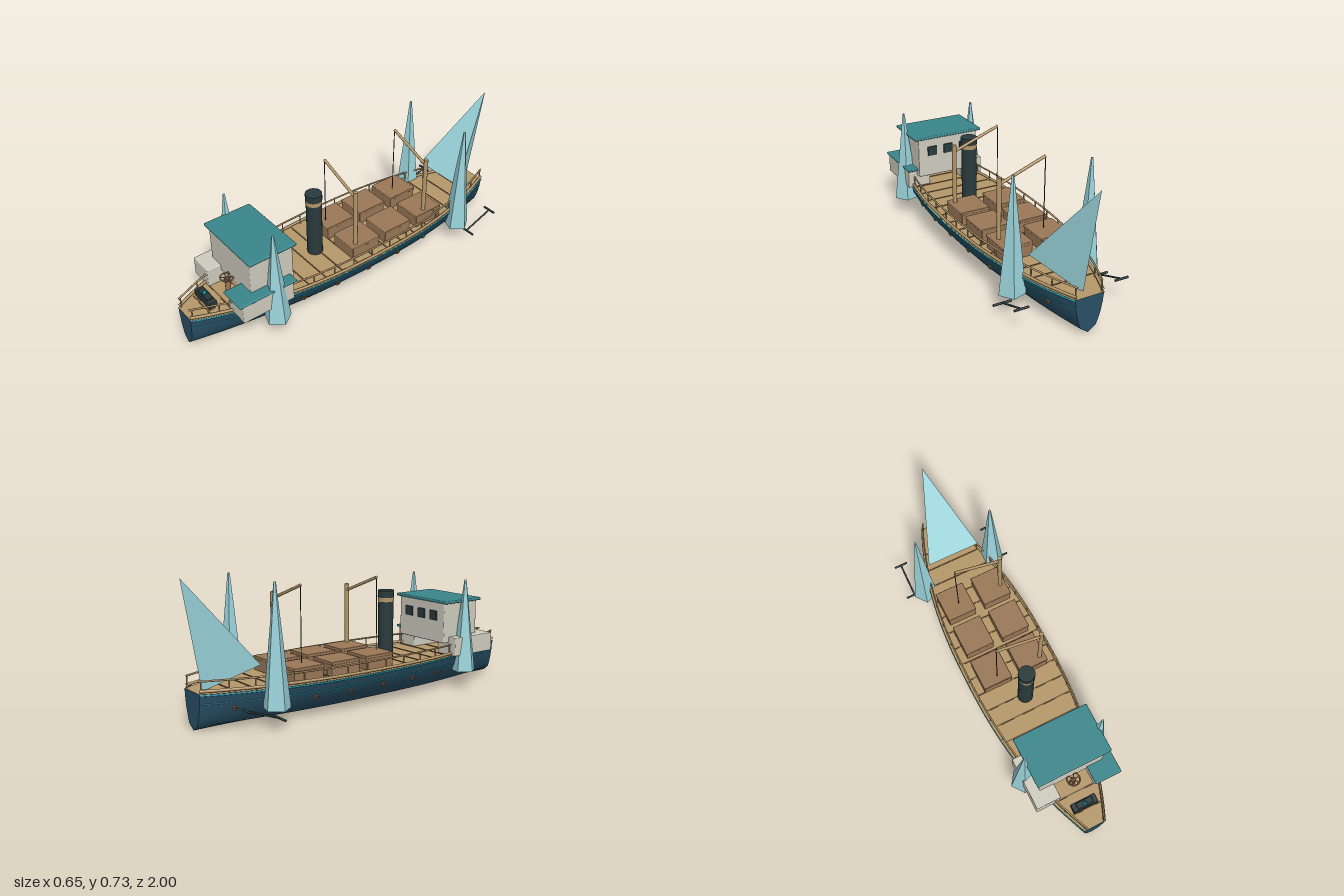
import * as THREE from 'three';
import { RoundedBoxGeometry } from 'three/addons/geometries/RoundedBoxGeometry.js';

const paint = (name, color, opts = {}) => {
  const m = new THREE.MeshStandardMaterial({ color, ...opts });
  m.name = name;
  return m;
};

export function createModel() {
  const root = new THREE.Group();
  root.name = 'cargoShip';
  const hullBlue = paint('hull blue', 0x285066);
  const wood = paint('deck wood', 0xb5986a);
  const brown = paint('crate brown', 0x9a7857);
  const seam = paint('seam brown', 0x6e5539);
  const dark = paint('dark iron', 0x2a3a3c);
  const wall = paint('wall cream', 0xcfccbf);
  const teal = paint('roof teal', 0x3a868b);
  const aqua = paint('trim aqua', 0x22a3b4);
  const ice = paint('ice blue', 0x9ad2da, { flatShading: true });

  const add = (name, geo, mat, x = 0, y = 0, z = 0, parent = root) => {
    const m = new THREE.Mesh(geo, mat);
    m.name = name;
    m.position.set(x, y, z);
    parent.add(m);
    return m;
  };
  // Rounded box given by its min and max corners
  const block = (name, mat, [x0, y0, z0], [x1, y1, z1], r = 0.005) =>
    add(name, new RoundedBoxGeometry(x1 - x0, y1 - y0, z1 - z0, 2, r), mat,
      (x0 + x1) / 2, (y0 + y1) / 2, (z0 + z1) / 2);
  // Round bar between two points
  const bar = (name, mat, a, b, r, sides = 8) => {
    const p = new THREE.Vector3(...a), q = new THREE.Vector3(...b);
    const d = q.clone().sub(p);
    const m = add(name, new THREE.CylinderGeometry(r, r, d.length(), sides), mat);
    m.position.copy(p).add(q).multiplyScalar(0.5);
    m.quaternion.setFromUnitVectors(new THREE.Vector3(0, 1, 0), d.normalize());
    return m;
  };

  // Hull rules: half-width along z, and section as [width share, height]
  const BOW = -0.96, STERN = 1, DECK = 0.19;
  const halfWidth = z => 0.25 * (1 - 0.76 * Math.pow(Math.abs(z), 2.4));
  const section = [[0, 0], [0.27, 0.014], [0.54, 0.03], [0.7, 0.062], [0.84, 0.1], [0.93, 0.14], [1, DECK]];
  const share = y => {
    const i = section.findIndex(s => s[1] >= y);
    const [a, b] = [section[i - 1], section[i]];
    return a[0] + (b[0] - a[0]) * (y - a[1]) / (b[1] - a[1]);
  };
  const outline = [...section.slice(1).reverse().map(([s, y]) => [-s, y]), ...section];
  const stations = 36, n = outline.length;
  const stationZ = i => BOW + (STERN - BOW) * i / stations;

  // Hull skin
  const pos = [], idx = [];
  for (let i = 0; i <= stations; i++) {
    const z = stationZ(i);
    for (const [s, y] of outline) pos.push(s * halfWidth(z), y, z);
  }
  for (let i = 0; i < stations; i++) for (let j = 0; j < n - 1; j++) {
    const a = i * n + j, b = a + n;
    idx.push(a, a + 1, b, b, a + 1, b + 1);
  }
  const skin = new THREE.BufferGeometry();
  skin.setAttribute('position', new THREE.Float32BufferAttribute(pos, 3));
  skin.setIndex(idx);
  skin.computeVertexNormals();
  add('hull', skin, hullBlue);

  // Flat ends of the hull
  for (const z of [BOW, STERN]) {
    const w = halfWidth(z);
    const shape = new THREE.Shape(outline.map(([s, y]) => new THREE.Vector2(s * w, y)));
    const end = add('hullEnd', new THREE.ShapeGeometry(shape), hullBlue, 0, 0, z);
    if (z < 0) end.rotation.y = Math.PI;
  }

  // Deck
  const edge = [];
  for (let i = 0; i <= stations; i++) edge.push(new THREE.Vector2(halfWidth(stationZ(i)), -stationZ(i)));
  const deckShape = new THREE.Shape([...edge, ...edge.map(p => new THREE.Vector2(-p.x, p.y)).reverse()]);
  add('deck', new THREE.ShapeGeometry(deckShape), wood, 0, DECK, 0).rotation.x = -Math.PI / 2;
  for (let k = -8; k <= 9; k++) {
    const z = k * 0.1;
    add('deckSeam', new THREE.BoxGeometry(2 * halfWidth(z) - 0.03, 0.004, 0.007), seam, 0, DECK + 0.001, z);
  }

  // Tubes that follow the side of the ship
  const sideTube = (name, mat, side, y, r, widthAt) => {
    const pts = [];
    for (let i = 0; i <= 24; i++) {
      const z = BOW + (STERN - BOW) * i / 24;
      pts.push(new THREE.Vector3(side * widthAt(z), y, z));
    }
    add(name, new THREE.TubeGeometry(new THREE.CatmullRomCurve3(pts), 48, r, 6), mat);
  };
  for (const side of [-1, 1]) {
    sideTube('hullStripe', aqua, side, 0.14, 0.003, z => halfWidth(z) * share(0.14));
    sideTube('sheerStripe', aqua, side, 0.184, 0.005, z => halfWidth(z) * share(0.184));
    sideTube('toeRail', wood, side, 0.203, 0.008, z => halfWidth(z) - 0.006);
    sideTube('handRail', wood, side, 0.25, 0.005, z => halfWidth(z) - 0.012);
    for (let k = 0; k <= 16; k++) {
      const z = -0.95 + k * 0.121, x = side * (halfWidth(z) - 0.011);
      bar('railPost', wood, [x, DECK, z], [x, 0.25, z], 0.004, 6);
    }
    // Portholes
    for (let k = 0; k < 7; k++) {
      const z = 0.43 - k * 0.205, x = side * halfWidth(z) * share(0.11);
      const hole = new THREE.Group();
      hole.name = 'porthole';
      hole.position.set(x, 0.11, z);
      hole.lookAt(x + side, 0.11 - 0.35, z + z * 0.4);
      root.add(hole);
      add('portholeRing', new THREE.TorusGeometry(0.011, 0.004, 6, 12), brown, 0, 0, 0.002, hole);
      add('portholeGlass', new THREE.CircleGeometry(0.011, 12), dark, 0, 0, 0.003, hole);
    }
    // Anchors
    const x = side * 0.277;
    bar('anchorShaft', dark, [x, 0.135, -0.83], [x, 0.07, -0.655], 0.005);
    bar('anchorStock', dark, [x - 0.038, 0.135, -0.83], [x + 0.038, 0.135, -0.83], 0.006);
    bar('anchorArms', dark, [x - 0.049, 0.069, -0.655], [x + 0.049, 0.069, -0.655], 0.006);
    // Ice spires beside the hull
    for (const [z, top] of [[-0.63, 0.7], [0.605, 0.608]]) {
      const spire = add('iceSpire', new THREE.CylinderGeometry(0.006, 0.07, top - 0.097, 5), ice,
        side * 0.213, (top + 0.097) / 2, z);
      spire.rotation.y = side * 0.3;
    }
  }

  // Tilted ice shard on the bow
  const lean = 0.491;
  const shard = add('bowShard', new THREE.ConeGeometry(0.175, 0.524, 3, 1, false, Math.PI), ice, 0, 0.494, -0.877);
  shard.rotation.x = -lean;

  // Cargo crates
  for (const z of [-0.425, -0.2025, 0.0175]) for (const x of [-0.108, 0.108]) {
    block('crate', brown, [x - 0.08, DECK, z - 0.0875], [x + 0.08, 0.255, z + 0.0875], 0.004);
    block('crateLid', brown, [x - 0.083, 0.25, z - 0.09], [x + 0.083, 0.266, z + 0.09], 0.004);
  }

  // Cargo cranes
  for (const z of [-0.41, 0.068]) {
    bar('craneMast', wood, [0.16, DECK, z], [0.16, 0.59, z], 0.012, 10);
    bar('craneBoom', wood, [0.16, 0.555, z], [-0.097, 0.652, z], 0.008);
    bar('craneCable', dark, [-0.097, 0.65, z], [-0.097, 0.26, z], 0.0025, 6);
  }

  // Funnel
  add('funnel', new THREE.CylinderGeometry(0.042, 0.042, 0.32, 14), dark, 0, 0.35, 0.213);
  add('funnelBand', new THREE.CylinderGeometry(0.044, 0.044, 0.023, 14), wood, 0, 0.511, 0.213);
  add('funnelCap', new THREE.CylinderGeometry(0.045, 0.045, 0.037, 14), dark, 0, 0.541, 0.213);

  // Wheelhouse with two side cabins
  block('wheelhouse', wall, [-0.182, 0.258, 0.477], [0.182, 0.485, 0.725]);
  block('wheelhouseRoof', teal, [-0.207, 0.48, 0.468], [0.207, 0.496, 0.738], 0.006);
  block('rightCabin', wall, [-0.235, 0.188, 0.515], [-0.1, 0.291, 0.803]);
  block('leftCabin', wall, [0.1, 0.188, 0.513], [0.235, 0.291, 0.807]);
  block('leftCabinRoof', teal, [0.09, 0.289, 0.497], [0.24, 0.303, 0.827], 0.006);
  for (const x of [-0.1, 0, 0.1]) add('window', new THREE.BoxGeometry(0.055, 0.053, 0.009), dark, x, 0.407, 0.474);

  // Steering wheel lying flat on its pedestal
  bar('wheelPedestal', brown, [0, DECK, 0.75], [0, 0.288, 0.75], 0.014, 10);
  add('steeringWheel', new THREE.TorusGeometry(0.034, 0.004, 6, 20), brown, 0, 0.292, 0.75).rotation.x = Math.PI / 2;
  for (let k = 0; k < 3; k++) {
    const a = k * Math.PI / 3, c = 0.034 * Math.cos(a), s = 0.034 * Math.sin(a);
    bar('wheelSpoke', brown, [-c, 0.292, 0.75 - s], [c, 0.292, 0.75 + s], 0.003, 6);
  }

  // Stern chest with a glowing crystal
  for (const x of [-0.045, 0.045]) block('chestFoot', brown, [x - 0.012, DECK, 0.86], [x + 0.012, 0.214, 0.895], 0.003);
  block('chest', dark, [-0.07, 0.21, 0.853], [0.07, 0.245, 0.9], 0.003);
  block('chestLid', dark, [-0.045, 0.243, 0.86], [0.045, 0.256, 0.893], 0.003);
  add('crystal', new THREE.OctahedronGeometry(0.013), aqua, 0, 0.262, 0.88).scale.y = 1.8;

  return root;
}
